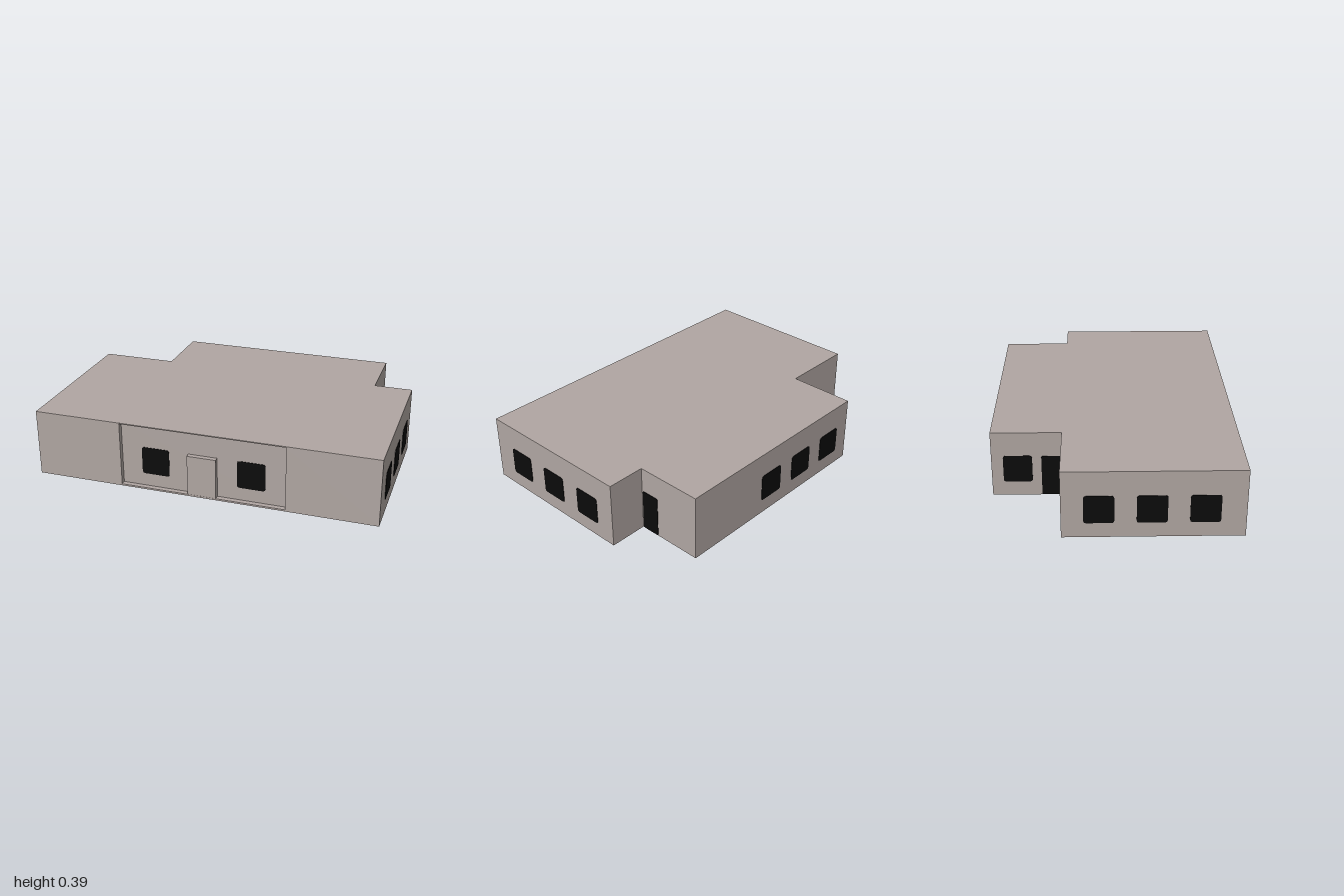
import * as THREE from 'three';

const H = 0.393;                       // building height
const FRONT = 0.687, BACK = -0.687, STEP = -0.29;
const WING_L = -0.555, WING_R = 0.775; // rear wing
const RECESS = 0.03, RW = 0.483;       // shallow entrance recess

export function createModel() {
  const wall = new THREE.MeshStandardMaterial({ color: 0xb0a6a2 });
  wall.name = 'wall';
  const black = new THREE.MeshStandardMaterial({ color: 0x0b0b0b });
  black.name = 'opening black';
  const brown = new THREE.MeshStandardMaterial({ color: 0xa87c62 });
  brown.name = 'floor brown';

  const group = new THREE.Group();
  group.name = 'building';

  const add = (name, geo, mat) => {
    const mesh = new THREE.Mesh(geo, mat);
    mesh.name = name;
    group.add(mesh);
    return mesh;
  };

  // Plan outline, with or without the entrance recess
  const plan = (recessed) => {
    const pts = [[-1, FRONT]];
    if (recessed) {
      const z = FRONT - RECESS;
      pts.push([-RW, FRONT], [-RW, z], [RW, z], [RW, FRONT]);
    }
    pts.push([1, FRONT], [1, STEP], [WING_R, STEP], [WING_R, BACK],
      [WING_L, BACK], [WING_L, STEP], [-1, STEP]);
    return new THREE.Shape(pts.map(([x, z]) => new THREE.Vector2(x, -z)));
  };
  const slab = (name, recessed, y0, y1, mat) => {
    const geo = new THREE.ExtrudeGeometry(plan(recessed), { depth: y1 - y0, bevelEnabled: false });
    geo.rotateX(-Math.PI / 2).translate(0, y0, 0);
    return add(name, geo, mat);
  };

  // Floor, walls and roof
  slab('floor', false, 0, 0.002, [brown, wall]);
  slab('floorEdge', false, 0.002, 0.01, wall);
  slab('walls', true, 0.01, H - 0.006, wall);
  slab('roof', false, H - 0.006, H, wall);

  // Thin rounded plate, centred on x, standing on y = 0
  const plate = (w, h, r) => {
    const s = new THREE.Shape();
    const a = w / 2;
    s.moveTo(-a + r, 0).lineTo(a - r, 0).quadraticCurveTo(a, 0, a, r);
    s.lineTo(a, h - r).quadraticCurveTo(a, h, a - r, h);
    s.lineTo(-a + r, h).quadraticCurveTo(-a, h, -a, h - r);
    s.lineTo(-a, r).quadraticCurveTo(-a, 0, -a + r, 0);
    return new THREE.ExtrudeGeometry(s, { depth: 0.003, bevelEnabled: false, curveSegments: 4 });
  };
  const windowGeo = plate(0.163, 0.163, 0.016);
  const doorGeo = plate(0.11, 0.245, 0.008);
  const place = (name, geo, x, y, z, turn) => {
    const mesh = add(name, geo, black);
    mesh.position.set(x, y, z);
    mesh.rotation.y = turn;
  };

  // Windows
  const sill = 0.087;
  for (const s of [-1, 1]) {
    place('frontWindow', windowGeo, s * 0.281, sill, FRONT - RECESS, 0);
    for (const z of [0.47, 0.19, -0.09])
      place('sideWindow', windowGeo, s, sill, z, s * Math.PI / 2);
  }
  for (const x of [0.154, -0.111, -0.377])
    place('backWindow', windowGeo, x, sill, BACK, Math.PI);
  place('wingWindow', windowGeo, WING_L, sill, -0.54, -Math.PI / 2);

  // Side doors in the rear wing
  place('rightDoor', doorGeo, WING_R, 0.002, -0.352, Math.PI / 2);
  place('leftDoor', doorGeo, WING_L, 0.002, -0.352, -Math.PI / 2);

  // Projecting front door
  const door = add('frontDoor', new THREE.BoxGeometry(0.168, 0.238, RECESS), wall);
  door.position.set(0, 0.129, FRONT - RECESS / 2 - 0.001);

  // Dark hatch on the underside
  const hatch = add('floorHatch', new THREE.BoxGeometry(0.15, 0.002, 0.15), black);
  hatch.position.set(0, 0, 0.18);

  return group;
}
